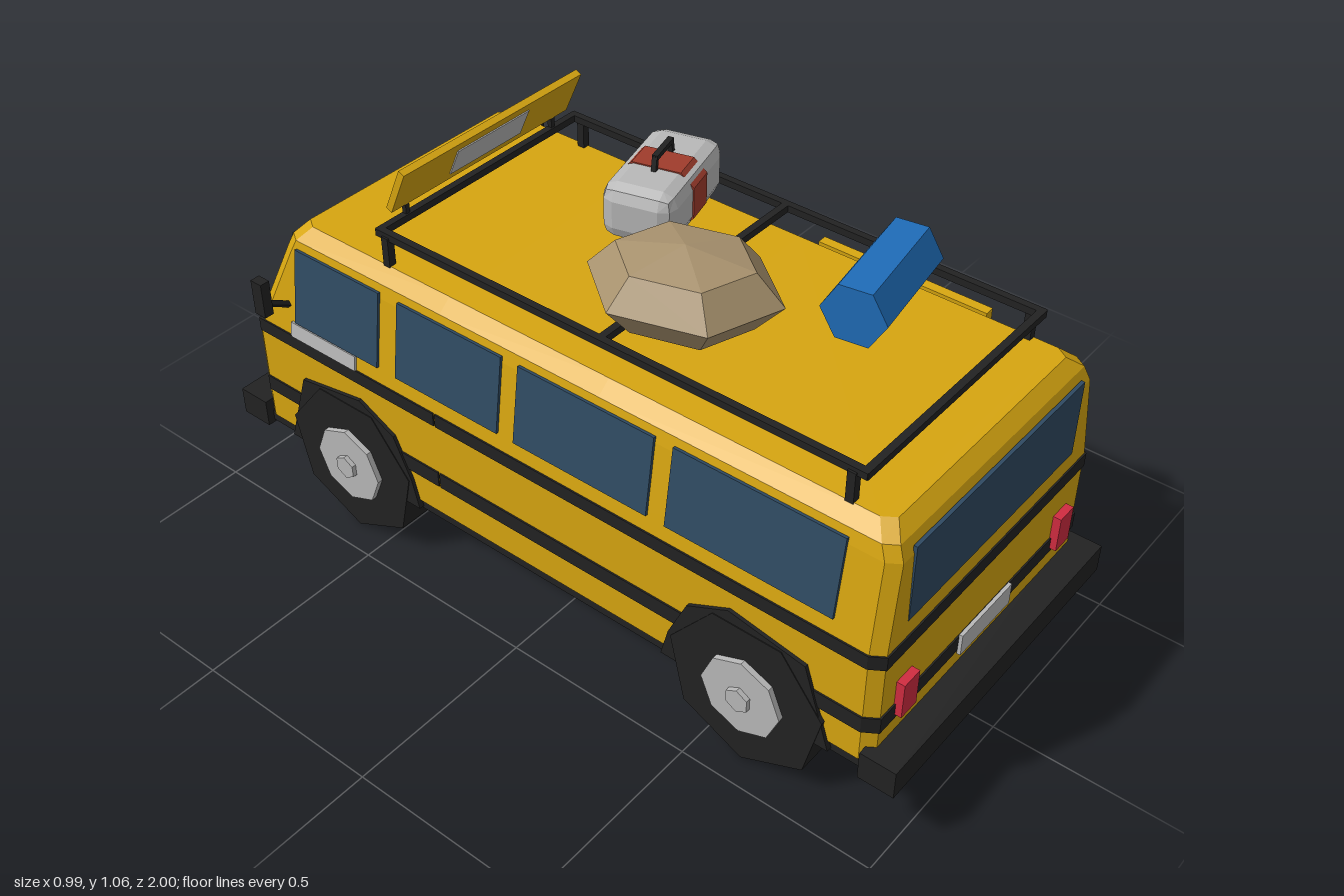
import * as THREE from 'three';
import { RoundedBoxGeometry } from 'three/addons/geometries/RoundedBoxGeometry.js';

const mat = (name, color, extra = {}) => {
  const m = new THREE.MeshStandardMaterial({ color, flatShading: true, ...extra });
  m.name = name;
  return m;
};

export function createModel() {
  const van = new THREE.Group();
  van.name = 'camperVan';
  const yellow = mat('yellow paint', 0xd6a510, { side: THREE.DoubleSide });
  const black = mat('black trim', 0x222222);
  const glass = mat('window glass', 0x2f4a62);
  const red = mat('tail light red', 0xd02c40);
  const silver = mat('silver', 0xb8b8b8);
  const rust = mat('rust red', 0xa03c2c);
  const tan = mat('canvas tan', 0xa8926e);
  const blue = mat('mat blue', 0x1f6cb8);

  const add = (name, geo, material, x = 0, y = 0, z = 0, parent = van) => {
    const m = new THREE.Mesh(geo, material);
    m.name = name;
    m.position.set(x, y, z);
    parent.add(m);
    return m;
  };
  const box = (name, material, w, h, d, x, y, z, parent) =>
    add(name, new THREE.BoxGeometry(w, h, d), material, x, y, z, parent);
  const shapeOf = pts => new THREE.Shape(pts.map(p => new THREE.Vector2(...p)));
  const group = (name, x, y, z) => {
    const g = new THREE.Group();
    g.name = name;
    g.position.set(x, y, z);
    van.add(g);
    return g;
  };

  // Body shell: rows of half width, height, rear z, front z
  const rows = [
    [0.42, 0.2, 0.93, -0.925], [0.42, 0.215, 0.93, -0.925], [0.42, 0.47, 0.93, -0.925],
    [0.42, 0.51, 0.93, -0.908], [0.388, 0.735, 0.925, -0.81], [0.38, 0.77, 0.91, -0.795],
    [0.345, 0.8, 0.88, -0.77],
  ];
  const doorRear = 0.17, doorFront = -0.295;
  const point = (i, k, s) => {
    const [w, y, zr, zf] = rows[k];
    const z = [zr, zr - 0.03, doorRear, doorFront, zf + 0.03, zf][i];
    return [s * (i === 0 || i === 5 ? w - 0.02 : w), y, z];
  };
  const verts = [];
  const quad = (a, b, c, d) => verts.push(...a, ...b, ...c, ...a, ...c, ...d);
  const top = rows.length - 1;
  for (let i = 0; i < 5; i++) {
    for (let k = 0; k < top; k++) {
      const opening = i === 2 && k >= 1 && k <= 3;
      if (!opening) quad(point(i, k, 1), point(i + 1, k, 1), point(i + 1, k + 1, 1), point(i, k + 1, 1));
      quad(point(i + 1, k, -1), point(i, k, -1), point(i, k + 1, -1), point(i + 1, k + 1, -1));
    }
    quad(point(i, top, -1), point(i, top, 1), point(i + 1, top, 1), point(i + 1, top, -1));
  }
  for (let k = 0; k < top; k++) {
    quad(point(0, k, -1), point(0, k, 1), point(0, k + 1, 1), point(0, k + 1, -1));
    quad(point(5, k, 1), point(5, k, -1), point(5, k + 1, -1), point(5, k + 1, 1));
  }
  const shell = new THREE.BufferGeometry();
  shell.setAttribute('position', new THREE.Float32BufferAttribute(verts, 3));
  shell.computeVertexNormals();
  add('body', shell, yellow);
  box('underside', black, 0.83, 0.03, 1.85, 0, 0.188, 0);

  // Dark cabin behind the open side door, with its seat
  const midZ = (doorRear + doorFront) / 2, cabin = doorRear - doorFront;
  box('cabinFloor', black, 0.79, 0.01, cabin, 0.02, 0.211, midZ);
  box('cabinCeiling', black, 0.75, 0.01, cabin, 0.005, 0.74, midZ);
  box('cabinWall', black, 0.01, 0.53, cabin, -0.37, 0.475, midZ);
  for (const z of [doorRear, doorFront]) box('cabinPartition', black, 0.755, 0.53, 0.008, 0.005, 0.475, z);
  box('seatCushion', rust, 0.6, 0.05, 0.18, 0.02, 0.365, 0.07);
  box('seatBack', rust, 0.6, 0.2, 0.035, 0.02, 0.47, 0.138).rotation.x = 0.08;

  // Stripes wrapping the body, broken by the door opening
  const rearBand = shapeOf([[-0.424, -0.17], [0.424, -0.17], [0.424, -0.9], [0.402, -0.934], [-0.402, -0.934], [-0.424, -0.9]]);
  for (const [y, h] of [[0.473, 0.037], [0.287, 0.043]]) {
    const band = new THREE.ExtrudeGeometry(rearBand, { depth: h, bevelEnabled: false });
    add('rearStripe', band.rotateX(-Math.PI / 2), black, 0, y, 0);
    box('frontStripe', black, 0.848, h, 0.595, 0, y + h / 2, -0.5975);
    box('leftStripe', black, 0.008, h, cabin, -0.42, y + h / 2, midZ);
  }

  // Side windows on the leaning upper walls: side, rear z, front z
  const sidePlate = (name, material, s, z0, z1, y, h) => {
    const m = box(name, material, 0.008, h, z0 - z1, s * (0.423 - 0.142 * (y - 0.51)), y, (z0 + z1) / 2);
    m.rotation.z = s * 0.141;
  };
  for (const [s, z0, z1] of [[1, 0.81, 0.655], [1, -0.48, -0.76], [-1, -0.48, -0.76],
    [-1, -0.1, -0.42], [-1, 0.33, -0.05], [-1, 0.81, 0.38]])
    sidePlate('sideWindow', glass, s, z0, z1, 0.652, 0.2);
  for (const s of [-1, 1]) sidePlate('doorPanelPlate', silver, s, -0.555, -0.775, 0.53, 0.04);

  // Rear end
  box('rearWindow', glass, 0.66, 0.2, 0.009, 0, 0.655, 0.926);
  box('rearPlate', silver, 0.205, 0.058, 0.009, 0, 0.307, 0.938);
  for (const s of [-1, 1]) box('tailLight', red, 0.057, 0.095, 0.03, s * 0.32, 0.347, 0.935);
  for (const s of [-1, 1]) box('bumper', black, 0.87, 0.075, 0.09, 0, 0.203, s * 0.955);

  // Raked windscreen and its small details
  const screen = group('windscreen', 0, 0.645, -0.851);
  screen.rotation.x = 0.407;
  box('windscreenGlass', glass, 0.71, 0.255, 0.009, 0, 0, 0, screen);
  box('glint', silver, 0.035, 0.02, 0.006, 0.26, 0.085, -0.004, screen);
  box('glint', silver, 0.035, 0.02, 0.006, -0.25, -0.075, -0.004, screen);
  box('trimBar', silver, 0.21, 0.015, 0.009, 0, 0.49, -0.918).rotation.x = 0.407;

  // Front end
  box('grille', black, 0.76, 0.14, 0.009, 0, 0.393, -0.927);
  box('frontPlate', silver, 0.2, 0.055, 0.009, 0, 0.203, -1.0);
  for (const s of [-1, 1]) {
    const lamp = new THREE.CylinderGeometry(0.04, 0.053, 0.04, 6).rotateX(-Math.PI / 2);
    add('headlight', lamp, silver, s * 0.285, 0.393, -0.946);
    box('indicator', yellow, 0.075, 0.03, 0.025, s * 0.285, 0.298, -0.93);
    // Mirrors
    box('mirror', black, 0.026, 0.095, 0.035, s * 0.484, 0.653, -0.788);
    const arm = new THREE.LineCurve3(new THREE.Vector3(s * 0.4, 0.585, -0.79), new THREE.Vector3(s * 0.475, 0.63, -0.788));
    add('mirrorArm', new THREE.TubeGeometry(arm, 1, 0.009, 4), black);
  }

  // Wheels and angular arches
  const arch = [[0.23, 0.18], [0.21, 0.26], [0.16, 0.37], [0.05, 0.425], [-0.15, 0.39], [-0.22, 0.18]];
  const disc = (r, w, n) => new THREE.CylinderGeometry(r, r, w, n).rotateZ(Math.PI / 2).rotateX(Math.PI / 2);
  for (const s of [-1, 1]) for (const [z, flip] of [[0.61, -1], [-0.6, 1]]) {
    const geo = new THREE.ExtrudeGeometry(shapeOf(arch.map(([a, y]) => [flip * a, y])), { depth: 0.06, bevelEnabled: false });
    add('wheelArch', geo.rotateY(-Math.PI / 2), black, s > 0 ? 0.429 : -0.369, 0, z);
    add('tyre', disc(0.207, 0.142, 7), black, s * 0.36, 0.207, z);
    add('hubCap', disc(0.105, 0.02, 8), silver, s * 0.435, 0.205, z);
    add('hubNut', disc(0.032, 0.02, 6), silver, s * 0.447, 0.205, z);
  }

  // Sliding door, pushed back and leaning out
  const door = group('slidingDoor', 0.448, 0.48, 0.405);
  door.rotation.z = 0.058;
  box('doorPanel', yellow, 0.025, 0.54, 0.46, 0, 0, 0, door);
  box('doorWindow', glass, 0.009, 0.165, 0.365, 0.013, 0.178, 0.002, door);
  box('doorStripe', black, 0.009, 0.036, 0.46, 0.012, 0.012, 0, door);
  box('doorStripe', black, 0.009, 0.043, 0.46, 0.012, -0.172, 0, door);

  // Roof rack
  for (const s of [-1, 1]) {
    box('rackRail', black, 0.018, 0.018, 1.335, s * 0.334, 0.876, 0.145);
    for (const z of [0.78, -0.49]) box('rackPost', black, 0.02, 0.08, 0.02, s * 0.338, 0.835, z);
    box('signPost', black, 0.012, 0.06, 0.012, s * 0.25, 0.905, -0.516);
  }
  for (const z of [0.805, 0.137, -0.515]) box('rackCrossbar', black, 0.68, 0.018, 0.018, 0, 0.876, z);

  // Roof board with a plain panel on both faces
  const board = group('roofBoard', 0, 0.973, -0.492);
  board.rotation.x = 0.42;
  box('boardPanel', yellow, 0.6, 0.128, 0.018, 0, 0, 0, board);
  for (const s of [-1, 1]) box('boardInset', silver, 0.24, 0.08, 0.006, 0, 0, s * 0.009, board);

  // Suitcase with strap and handle
  const luggage = group('suitcase', 0.12, 0.955, -0.06);
  luggage.rotation.y = 0.26;
  add('caseShell', new RoundedBoxGeometry(0.31, 0.138, 0.18, 1, 0.035), silver, 0, 0, 0, luggage);
  const strap = shapeOf([[-0.093, -0.04], [-0.06, -0.072], [0.06, -0.072], [0.093, -0.04],
    [0.093, 0.04], [0.06, 0.072], [-0.06, 0.072], [-0.093, 0.04]]);
  const strapGeo = new THREE.ExtrudeGeometry(strap, { depth: 0.075, bevelEnabled: false });
  add('strap', strapGeo.translate(0, 0, -0.0375).rotateY(Math.PI / 2), rust, 0, 0, 0, luggage);
  for (const s of [-1, 1]) box('handlePost', black, 0.012, 0.036, 0.012, s * 0.044, 0.084, 0, luggage).rotation.z = s * 0.2;
  box('handleGrip', black, 0.09, 0.012, 0.014, 0, 0.1, 0, luggage);

  // Canvas sack and rolled mat
  const sack = add('sack', new THREE.SphereGeometry(1, 6, 4), tan, -0.148, 0.952, 0.215);
  sack.scale.set(0.225, 0.102, 0.182);
  sack.rotation.y = -1.28;
  const roll = new THREE.CylinderGeometry(0.078, 0.078, 0.29, 6).rotateZ(Math.PI / 2);
  add('rolledMat', roll, blue, 0.127, 0.95, 0.53).rotation.y = 0.16;

  return van;
}
